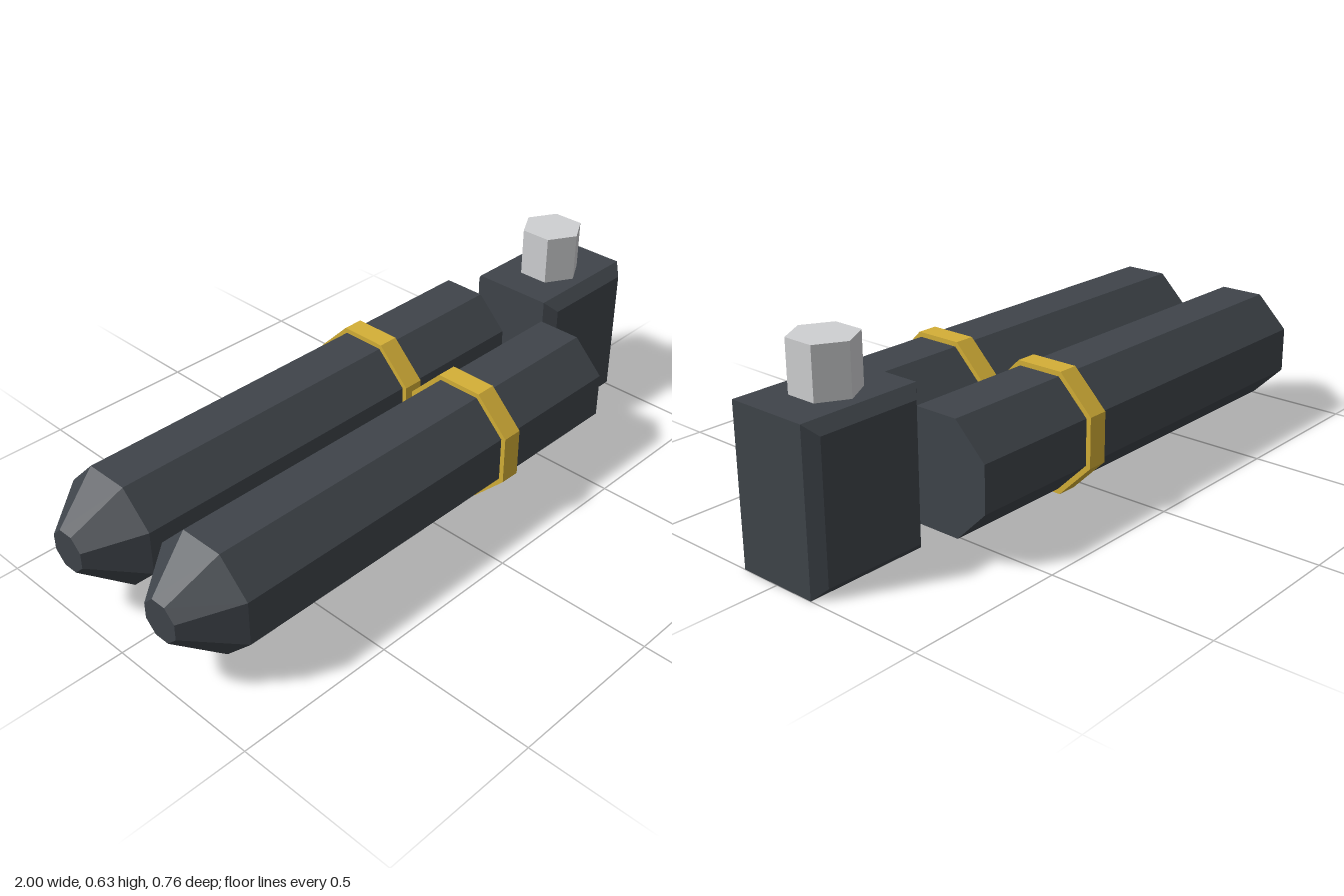
import * as THREE from 'three';

const flat = (name, color) => {
  const m = new THREE.MeshStandardMaterial({ color, flatShading: true });
  m.name = name;
  return m;
};

// Octagonal prism lying along x, flats facing up and sideways; radii given flat-to-centre
function octagon(x0, x1, apothem0, apothem1) {
  const k = 1 / Math.cos(Math.PI / 8);
  const g = new THREE.CylinderGeometry(apothem0 * k, apothem1 * k, x1 - x0, 8, 1, false, Math.PI / 8);
  g.rotateZ(Math.PI / 2); // top of the cylinder points to -x
  g.translate((x0 + x1) / 2, 0, 0);
  return g;
}

export function createModel() {
  const dark = flat('dark slate', 0x3f444a);
  const gold = flat('gold', 0xd4af37);
  const steel = flat('light steel', 0xcfd0d2);

  const model = new THREE.Group();
  model.name = 'twinBarrelDevice';
  const add = (parent, name, geometry, material) => {
    const mesh = new THREE.Mesh(geometry, material);
    mesh.name = name;
    parent.add(mesh);
    return mesh;
  };

  // Two side-by-side barrels with tapered noses and gold bands
  for (const [side, s] of [['front', 1], ['back', -1]]) {
    const barrel = new THREE.Group();
    barrel.name = side + 'Barrel';
    barrel.position.set(0, 0.24, s * 0.197);
    add(barrel, 'body', octagon(-0.85, 0.609, 0.17, 0.17), dark);
    add(barrel, 'nose', octagon(-1, -0.85, 0.06, 0.17), dark);
    add(barrel, 'band', octagon(0.13, 0.195, 0.185, 0.185), gold);
    model.add(barrel);
  }

  // End block, chamfered around its front and back faces
  const bevel = 0.033, w = 0.39 - 2 * bevel, h = 0.478 - 2 * bevel, depth = 0.26;
  const outline = new THREE.Shape([
    new THREE.Vector2(-w / 2, -h / 2), new THREE.Vector2(w / 2, -h / 2),
    new THREE.Vector2(w / 2, h / 2), new THREE.Vector2(-w / 2, h / 2),
  ]);
  const block = new THREE.ExtrudeGeometry(outline, {
    depth, bevelEnabled: true, bevelSize: bevel, bevelThickness: bevel, bevelSegments: 1,
  });
  block.translate(0.805, 0.239, -depth / 2);
  add(model, 'endBlock', block, dark);

  // Hexagonal bolt on top of the block
  const bolt = add(model, 'hexBolt', new THREE.CylinderGeometry(0.098, 0.098, 0.153, 6), steel);
  bolt.position.set(0.802, 0.5545, 0);

  return model;
}
